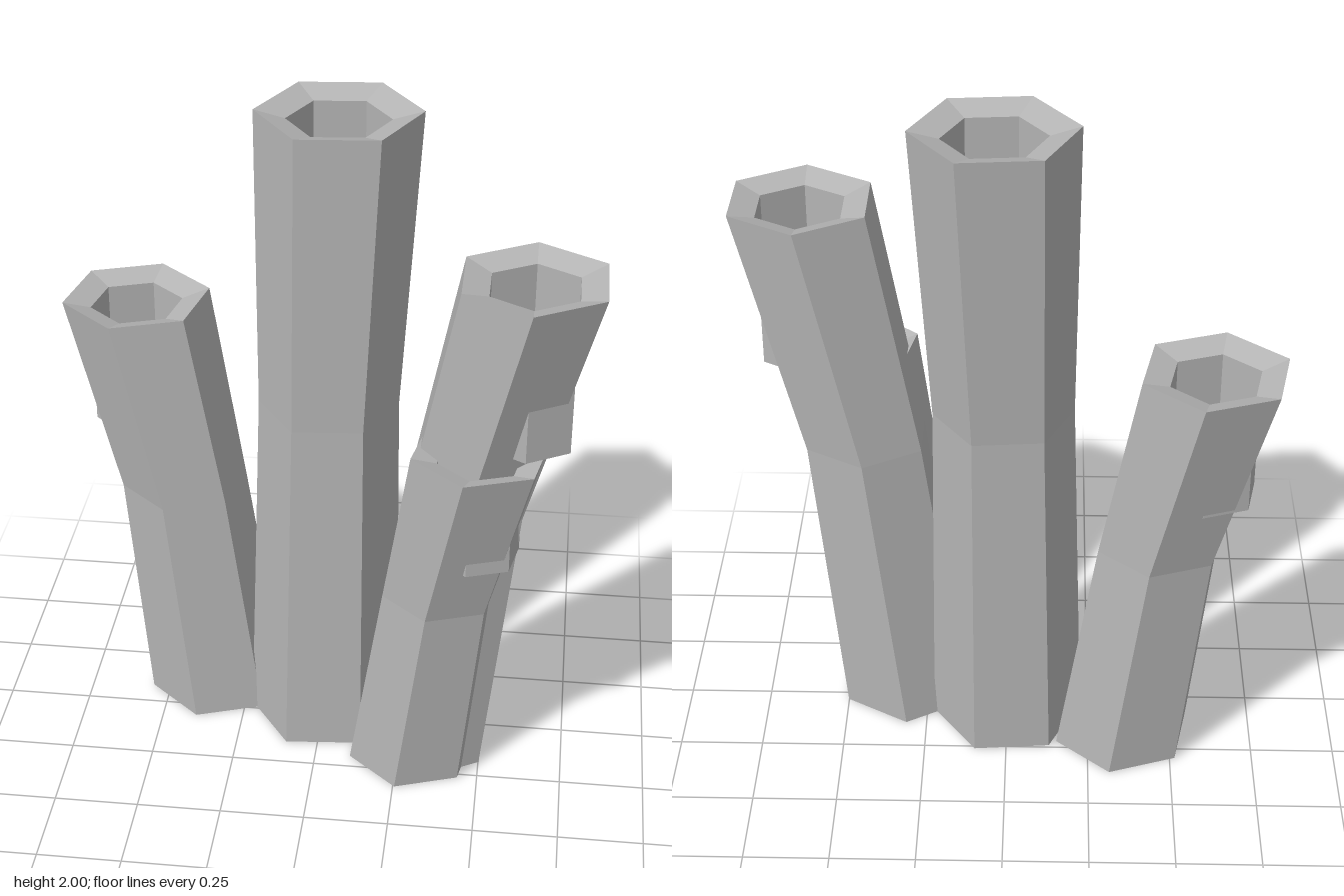
import * as THREE from 'three';

const SIDES = 6;

// Flat-shaded hexagonal skin through a list of rings [x, y, z, radius]
function loft(rings, turn) {
  const point = ([x, y, z, r], j) => {
    const a = turn + (j / SIDES) * Math.PI * 2;
    return [x + r * Math.cos(a), y, z + r * Math.sin(a)];
  };
  const pos = [];
  for (let i = 0; i < rings.length - 1; i++) {
    const lo = rings[i], hi = rings[i + 1];
    for (let j = 0; j < SIDES; j++) {
      const a = point(lo, j), b = point(lo, j + 1);
      const c = point(hi, j + 1), d = point(hi, j);
      if (hi[3] > 0) pos.push(...a, ...d, ...c);
      if (lo[3] > 0) pos.push(...a, ...c, ...b);
    }
  }
  const geo = new THREE.BufferGeometry();
  geo.setAttribute('position', new THREE.Float32BufferAttribute(pos, 3));
  geo.computeVertexNormals();
  return geo;
}

// Each tube: height, radius, turn in degrees, and centres [x, z] at base, bend and top
const TUBES = [
  { name: 'centreTube', h: 2.0, r: 0.236, turn: -5, base: [0.0, -0.053], mid: [0.01, -0.065], top: [0.033, -0.097] },
  { name: 'rightTube', h: 1.335, r: 0.219, turn: -19, base: [-0.355, -0.152], mid: [-0.447, -0.177], top: [-0.581, -0.22] },
  { name: 'leftTube', h: 1.655, r: 0.224, turn: 30, base: [0.313, 0.076], mid: [0.425, 0.11], top: [0.595, 0.17] },
  { name: 'smallFrontTube', h: 1.145, r: 0.202, turn: -19, base: [0.292, 0.137], mid: [0.367, 0.173], top: [0.469, 0.232] },
];

export function createModel() {
  const model = new THREE.Group();
  model.name = 'tubeCluster';
  const grey = new THREE.MeshStandardMaterial({ color: 0xb4b4b4, side: THREE.DoubleSide });
  grey.name = 'stoneGrey';

  for (const { name, h, r, turn, base, mid, top } of TUBES) {
    const tube = new THREE.Group();
    tube.name = name;
    const ring = ([x, z], y, radius) => [x, y, z, radius];
    const add = (part, rings) => {
      const mesh = new THREE.Mesh(loft(rings, THREE.MathUtils.degToRad(turn)), grey);
      mesh.name = part;
      tube.add(mesh);
    };
    const lip = ring(top, h, r);
    const mouth = ring(top, h - 0.025, r * 0.625);

    // Closed foot, slight waist at the bend, flared top
    add('outerWall', [ring(base, 0, 0), ring(base, 0, r * 0.97), ring(mid, h * 0.55, r * 0.87), lip]);
    // Rim sloping in to the mouth
    add('rim', [lip, mouth]);
    // Upright hollow, whose lower end breaks through the leaning walls
    add('hollow', [mouth, ring(top, h * 0.7, r * 0.625), ring(top, h * 0.7, 0)]);
    model.add(tube);
  }
  return model;
}
